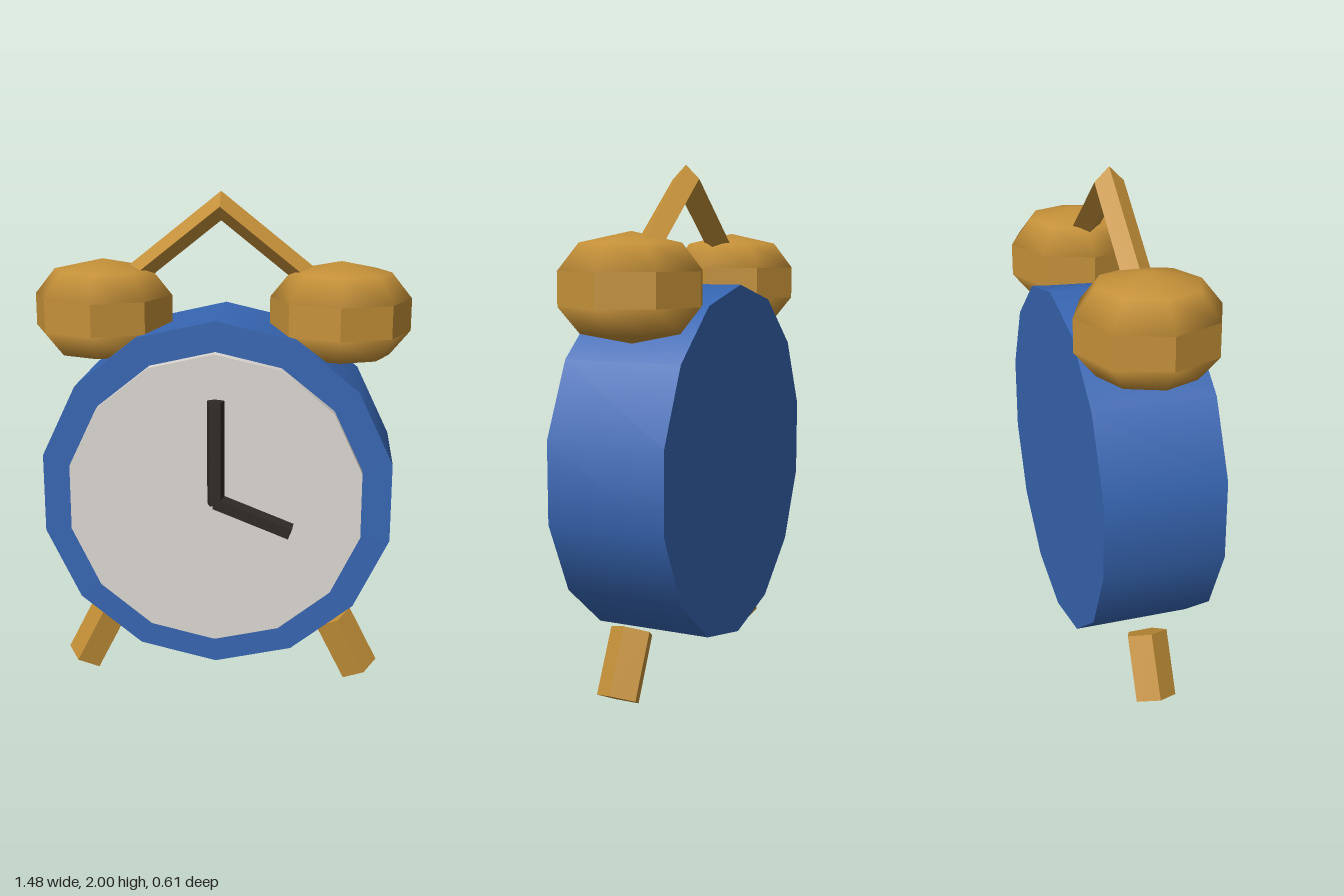
import * as THREE from 'three';

const paint = (color, flatShading = false) => new THREE.MeshStandardMaterial({ color, flatShading });

export function createModel() {
  const model = new THREE.Group();
  const blue = paint(0x3766b3), cream = paint(0xdcd8d2);
  const gold = paint(0xc49038), goldFlat = paint(0xc49038, true), black = paint(0x2e2926, true);

  const add = (name, geometry, material, parent = model) => {
    const mesh = new THREE.Mesh(geometry, material);
    mesh.name = name;
    parent.add(mesh);
    return mesh;
  };

  // 14-sided disc lying along z
  const disc = (name, radius, zBack, zFront, material) => {
    const geo = new THREE.CylinderGeometry(radius, radius, zFront - zBack, 14).rotateX(Math.PI / 2);
    add(name, geo, material).position.set(0, 0.845, (zBack + zFront) / 2);
  };
  disc('body', 0.695, -0.26, 0.205, blue);
  disc('dial', 0.578, 0.15, 0.25, cream);

  // Five-sided clock hands, flat side forward
  const hand = (name, x0, y0, x1, y1) => {
    const dx = x1 - x0, dy = y1 - y0;
    const geo = new THREE.CylinderGeometry(0.035, 0.035, Math.hypot(dx, dy), 5, 1, false, Math.PI);
    const mesh = add(name, geo, black);
    mesh.position.set((x0 + x1) / 2, (y0 + y1) / 2, 0.276);
    mesh.rotation.z = Math.atan2(dy, dx) - Math.PI / 2;
  };
  hand('minuteHand', 0.008, 0.845, 0.008, 1.25);
  hand('hourHand', 0.006, 0.853, 0.295, 0.74);

  for (const side of [1, -1]) {
    const label = side > 0 ? 'left' : 'right';

    // Bell: octagonal band between two shallow domes
    const bell = new THREE.Group();
    bell.name = label + 'Bell';
    bell.position.set(side * 0.465, 1.5375, -0.028);
    model.add(bell);
    add('bellBand', new THREE.CylinderGeometry(0.273, 0.273, 0.125, 8, 1, true), goldFlat, bell);
    const top = new THREE.SphereGeometry(0.273, 8, 2, 0, Math.PI * 2, 0, Math.PI / 2).scale(1, 0.513, 1);
    add('bellTop', top, gold, bell).position.y = 0.0625;
    const bottom = new THREE.SphereGeometry(0.273, 8, 2, 0, Math.PI * 2, Math.PI / 2, Math.PI / 2).scale(1, 0.5, 1);
    add('bellBottom', bottom, gold, bell).position.y = -0.0625;

    // Splayed five-sided foot, one corner pointing outwards
    const foot = add(label + 'Foot',
      new THREE.CylinderGeometry(0.084, 0.084, 0.256, 5, 1, false, side * Math.PI / 2), goldFlat);
    foot.position.set(side * 0.522, 0.15, -0.026);
    foot.rotation.z = side * 0.469;
  }

  // Peaked handle of diamond section, ending inside the bells
  const handle = add('handle', new THREE.TorusGeometry(0.465, 0.07, 4, 2, Math.PI).scale(1, 0.79, 0.81), goldFlat);
  handle.position.set(0, 1.578, -0.027);

  return model;
}
